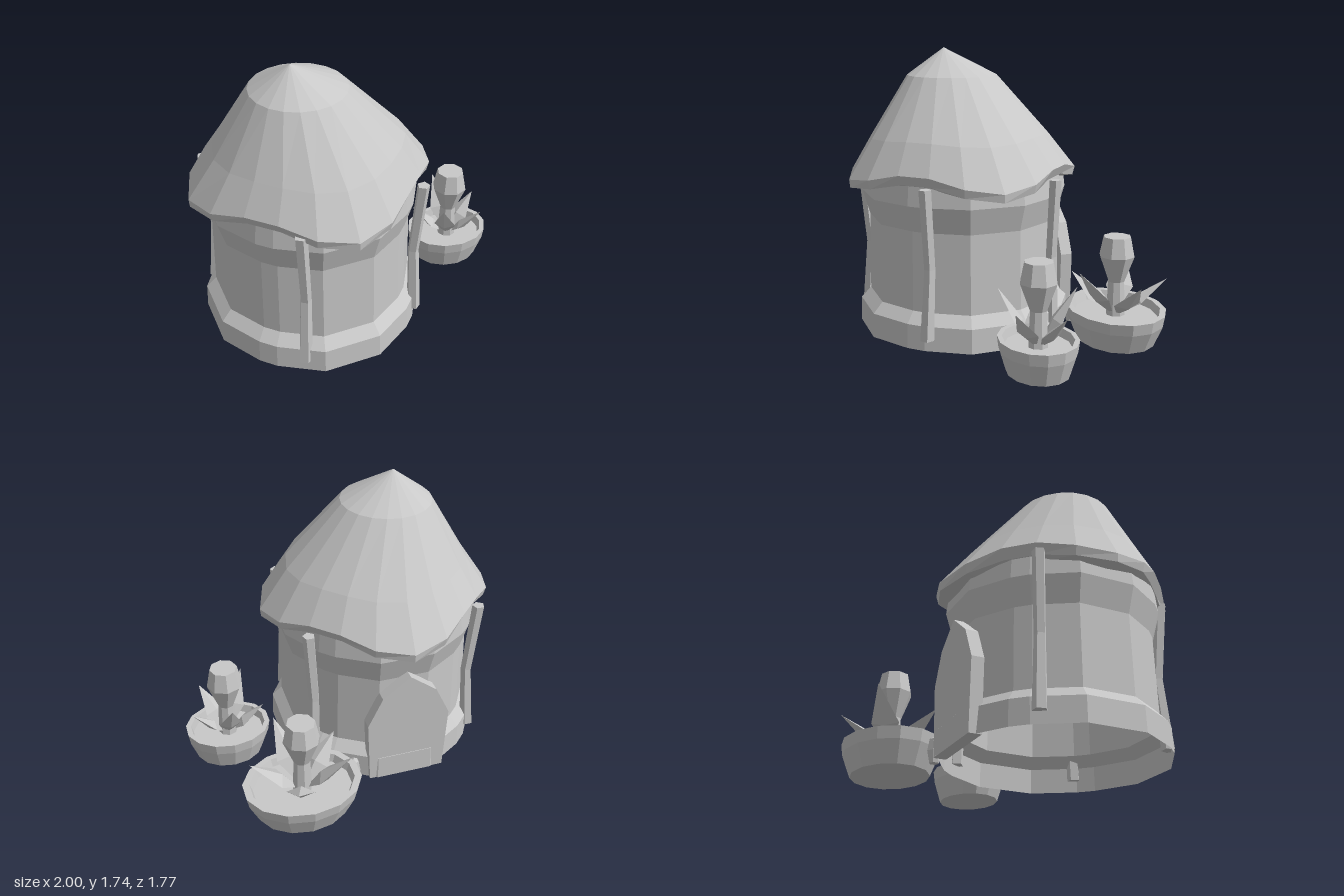
import * as THREE from 'three';

const stone = new THREE.MeshStandardMaterial({ color: 0xc8c8c8, flatShading: true, side: THREE.DoubleSide });
stone.name = 'pale grey';

function add(parent, name, geometry) {
  const mesh = new THREE.Mesh(geometry, stone);
  mesh.name = name;
  parent.add(mesh);
  return mesh;
}

// Skin a stack of closed rings, each listed from bottom to top
function loft(rings) {
  const n = rings[0].length, index = [];
  for (let j = 0; j < rings.length - 1; j++) {
    for (let i = 0; i < n; i++) {
      const a = j * n + i, b = j * n + (i + 1) % n;
      index.push(a, a + n, b, b, a + n, b + n);
    }
  }
  const g = new THREE.BufferGeometry();
  g.setAttribute('position', new THREE.Float32BufferAttribute(rings.flat(2), 3));
  g.setIndex(index);
  g.computeVertexNormals();
  return g;
}

const lathe = (profile, sides) =>
  new THREE.LatheGeometry(profile.map(([r, y]) => new THREE.Vector2(r, y)), sides);

const CX = -0.275, CZ = 0.15; // middle of the hut

// Round wall with a plinth and a flared top, on a squarish plan with cut corners
function wall() {
  const plan = [];
  for (let q = 0; q < 4; q++) {
    for (const [deg, k] of [[15, 1.03], [40, 1], [50, 1], [75, 1.03]]) {
      plan.push([(deg + q * 90) * Math.PI / 180, k]);
    }
  }
  const profile = [[0.655, 0], [0.65, 0.15], [0.59, 0.215], [0.58, 0.7], [0.625, 0.86], [0.61, 0.99]];
  return loft(profile.map(([r, y]) =>
    plan.map(([a, k]) => [CX + r * k * Math.cos(a), y, CZ + r * k * Math.sin(a)])));
}

// Leaning thatch: the eave is lower and wider at its four points
function roof() {
  // centre x, centre z, radius, height, lift between the points, inset between the points
  const levels = [
    [CX, CZ, 0.58, 0.93, 0.03, 0],
    [CX, CZ, 0.73, 0.91, 0.07, 0.11],
    [CX, CZ, 0.735, 0.96, 0.08, 0.085],
    [-0.285, 0.17, 0.565, 1.2, 0.02, 0.03],
    [-0.355, 0.2, 0.28, 1.57, 0, 0],
    [-0.41, 0.235, 0, 1.735, 0, 0],
  ];
  return loft(levels.map(([x, z, r, y, lift, inset]) => {
    const ring = [];
    for (let i = 0; i < 20; i++) {
      const a = i * Math.PI / 10;
      const w = Math.min(1, 1.1 * Math.sin(2 * a) ** 2);
      const rr = r - inset * w;
      ring.push([x + rr * Math.cos(a), y + lift * w, z + rr * Math.sin(a)]);
    }
    return ring;
  }));
}

// Crooked post: a small five-sided section through three points
function post(points) {
  const rings = points.map(([x, y, z], j) => {
    const r = [0.043, 0.034, 0.038][j];
    return Array.from({ length: 5 }, (_, i) => {
      const a = i * Math.PI * 0.4 + 0.3;
      return [x + r * Math.cos(a), y, z + r * Math.sin(a)];
    });
  });
  const cap = (p) => Array.from({ length: 5 }, () => p);
  return loft([cap(points[0]), ...rings, cap(points[2])]);
}

// Oval pot with five spiky leaves and a bulb on a stem
function planter(x, z, rx, rz, turn, leafReach, leafWidth, tips) {
  const group = new THREE.Group();
  group.name = 'planter';
  group.position.set(x, 0, z);

  const pot = add(group, 'pot', lathe(
    [[0, 0], [0.79, 0], [0.96, 0.13], [1, 0.2], [0.88, 0.2], [0.83, 0.15], [0, 0.15]], 14));
  pot.scale.set(rx, 1, rz);

  add(group, 'flower', lathe(
    [[0.06, 0.14], [0.05, 0.36], [0.11, 0.52], [0.085, 0.64], [0, 0.64]], 8));

  tips.forEach((tipY, i) => {
    const a = turn + i * Math.PI * 0.4;
    const base = new THREE.Vector3(0.02 * Math.cos(a), 0.15, -0.02 * Math.sin(a));
    const tip = new THREE.Vector3(leafReach * Math.cos(a), tipY, -leafReach * Math.sin(a));
    const dir = tip.clone().sub(base);
    const length = dir.length();
    dir.normalize();
    const leaf = add(group, 'leaf', lathe([[0, 0], [leafWidth, length * 0.42], [0, length]], 4));
    const side = new THREE.Vector3(0, 1, 0).cross(dir).normalize();
    const m = new THREE.Matrix4().makeBasis(side, dir, side.clone().cross(dir));
    leaf.quaternion.setFromRotationMatrix(m);
    leaf.position.copy(base);
    leaf.scale.z = 0.4;
  });
  return group;
}

export function createModel() {
  const model = new THREE.Group();
  model.name = 'hut with planters';
  const hut = new THREE.Group();
  hut.name = 'hut';
  model.add(hut);

  add(hut, 'wall', wall());
  add(hut, 'roof', roof());

  // Posts under the eave
  const posts = [
    [[-0.545, 0.07, 0.725], [-0.525, 0.5, 0.7], [-0.555, 0.98, 0.735]],
    [[0.237, 0.07, 0.555], [0.23, 0.5, 0.53], [0.26, 0.98, 0.56]],
    [[-0.81, 0.07, -0.23], [-0.785, 0.5, -0.21], [-0.82, 0.98, -0.23]],
    [[0.237, 0.07, -0.24], [0.23, 0.5, -0.235], [0.26, 0.98, -0.245]],
  ];
  posts.forEach((p) => add(hut, 'post', post(p)));

  // Pointed door on the back
  const half = [[0.24, 0], [0.26, 0.42], [0.17, 0.61]];
  const outline = [...half, [0, 0.74], ...half.map(([x, y]) => [-x, y]).reverse()];
  const shape = new THREE.Shape(outline.map(([x, y]) => new THREE.Vector2(x, y)));
  const door = add(hut, 'door', new THREE.ExtrudeGeometry(shape, { depth: 0.075, bevelEnabled: false }));
  door.position.set(-0.29, 0, -0.495);

  // Small stone beside the door
  const marker = add(hut, 'doorStone', lathe([[0, 0], [0.028, 0], [0.043, 0.07], [0.03, 0.14], [0, 0.16]], 6));
  marker.position.set(0.045, 0, -0.455);

  model.add(planter(0.41, -0.59, 0.36, 0.29, 0, 0.31, 0.085, [0.4, 0.37, 0.47, 0.37, 0.47]));
  model.add(planter(0.73, 0.055, 0.268, 0.225, Math.PI / 2, 0.235, 0.07, [0.47, 0.36, 0.47, 0.4, 0.37]));
  return model;
}
